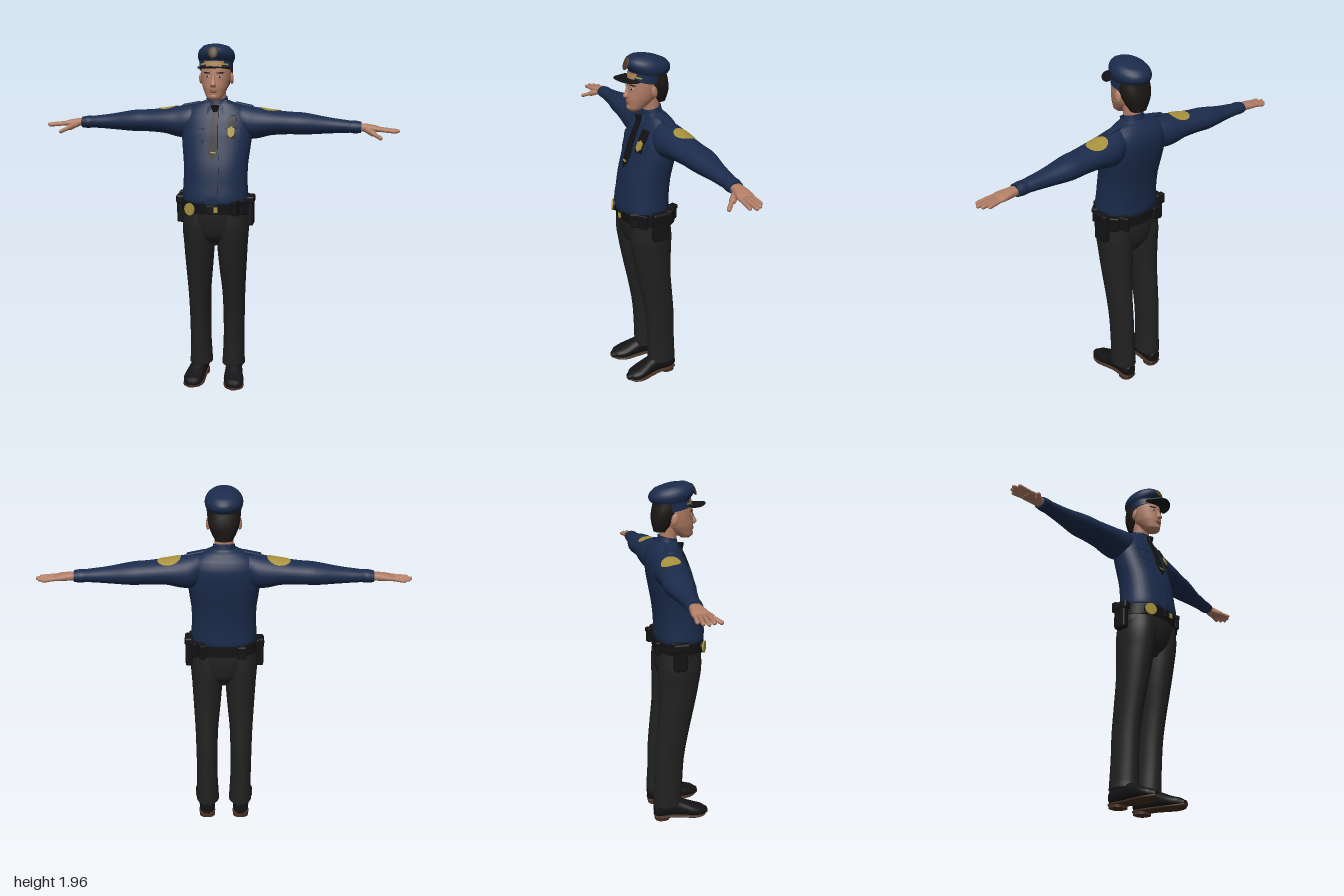
import * as THREE from 'three';
import { RoundedBoxGeometry } from 'three/addons/geometries/RoundedBoxGeometry.js';

const mat = (name, color, side = THREE.FrontSide) => {
  const m = new THREE.MeshStandardMaterial({ color, side });
  m.name = name;
  return m;
};

// Rows are [t, a, b, ra, rb]: position along the axis, centre and radii. Smoothly refined.
function refine(rows, sub = 4) {
  const out = [];
  for (let i = 0; i < rows.length - 1; i++) {
    const [p, q, r, s] = [-1, 0, 1, 2].map(k => rows[Math.min(Math.max(i + k, 0), rows.length - 1)]);
    for (let j = 0; j < sub; j++) {
      const u = j / sub;
      out.push(q.map((_, k) => k === 0 ? q[0] + (r[0] - q[0]) * u : 0.5 * (2 * q[k] + (r[k] - p[k]) * u +
        (2 * p[k] - 5 * q[k] + 4 * r[k] - s[k]) * u * u + (3 * q[k] - p[k] - 3 * r[k] + s[k]) * u ** 3)));
    }
  }
  out.push(rows[rows.length - 1]);
  return out;
}

function sample(rows, t) {
  const fine = refine(rows);
  let i = 0;
  while (i < fine.length - 2 && fine[i + 1][0] < t) i++;
  const u = THREE.MathUtils.clamp((t - fine[i][0]) / (fine[i + 1][0] - fine[i][0]), 0, 1);
  return fine[i].map((v, k) => v + (fine[i + 1][k] - v) * u);
}

// Skin of superellipse rings along an axis, with flat caps
function loft(axis, rows, { p = 2, seg = 28, sub = 4, caps = true } = {}) {
  const fine = refine(rows, sub), pos = [], idx = [];
  const put = (t, a, b) => axis === 'y' ? pos.push(a, t, b) : axis === 'x' ? pos.push(t, a, b) : pos.push(a, b, t);
  const ring = ([t, a, b, ra, rb]) => {
    for (let j = 0; j < seg; j++) {
      const c = Math.cos(j / seg * Math.PI * 2), s = Math.sin(j / seg * Math.PI * 2);
      put(t, a + ra * Math.sign(c) * Math.abs(c) ** (2 / p), b + rb * Math.sign(s) * Math.abs(s) ** (2 / p));
    }
  };
  const tri = (a, b, c) => axis === 'y' ? idx.push(a, b, c) : idx.push(a, c, b);
  fine.forEach(ring);
  for (let i = 0; i < fine.length - 1; i++) for (let j = 0; j < seg; j++) {
    const a = i * seg + j, b = i * seg + (j + 1) % seg;
    tri(a, a + seg, b);
    tri(b, a + seg, b + seg);
  }
  if (caps) [fine[0], fine[fine.length - 1]].forEach((row, end) => {
    const base = pos.length / 3;
    ring(row);
    put(row[0], row[1], row[2]);
    for (let j = 0; j < seg; j++) {
      const a = base + j, b = base + (j + 1) % seg;
      end ? tri(a, base + seg, b) : tri(a, b, base + seg);
    }
  });
  const g = new THREE.BufferGeometry();
  g.setAttribute('position', new THREE.Float32BufferAttribute(pos, 3));
  g.setIndex(idx);
  g.computeVertexNormals();
  return g;
}

function warp(g, fn) {
  const a = g.attributes.position, v = new THREE.Vector3();
  for (let i = 0; i < a.count; i++) { fn(v.fromBufferAttribute(a, i)); a.setXYZ(i, v.x, v.y, v.z); }
  g.computeVertexNormals();
  return g;
}

// Push a thin plate forward onto the front of a lofted body
const onFront = (g, rows, p = 2) => warp(g, v => {
  const [, a, b, ra, rb] = sample(rows, v.y);
  v.z += b + rb * Math.max(0, 1 - Math.abs((v.x - a) / ra) ** p) ** (1 / p);
});

function mirrored(src) {
  const g = src.clone().scale(-1, 1, 1);
  if (!g.index) g.setIndex([...Array(g.attributes.position.count).keys()]);
  const ix = g.index.array;
  for (let i = 0; i < ix.length; i += 3) [ix[i], ix[i + 1]] = [ix[i + 1], ix[i]];
  g.computeVertexNormals();
  return g;
}

function capsule(a, b, r) {
  const A = new THREE.Vector3(...a), d = new THREE.Vector3(...b).sub(A), len = d.length();
  return new THREE.CapsuleGeometry(r, len, 5, 10).applyQuaternion(
    new THREE.Quaternion().setFromUnitVectors(new THREE.Vector3(0, 1, 0), d.clone().normalize()))
    .translate(A.x + d.x / 2, A.y + d.y / 2, A.z + d.z / 2);
}

export function createModel() {
  const root = new THREE.Group();
  root.name = 'officer';
  const shirt = mat('navy cloth', 0x1b2b4b), trousers = mat('charcoal cloth', 0x212122), leather = mat('black leather', 0x131315);
  const skin = mat('skin', 0xb27e66), hair = mat('dark hair', 0x1c1815), gold = mat('gold', 0xa8923c, THREE.DoubleSide);
  const sole = mat('brown sole', 0x463022), lips = mat('lips', 0x8e5348), white = mat('eye white', 0xb5aaa2), bronze = mat('bronze', 0x4a3a28);
  const add = (name, g, m, parent = root) => {
    const mesh = new THREE.Mesh(g, m);
    mesh.name = name;
    parent.add(mesh);
    return mesh;
  };
  const pair = (name, g, m) => { add('left' + name, g, m); add('right' + name, mirrored(g), m); };

  // Torso and collar
  const torso = [[1.09, 0, .013, .172, .13], [1.12, 0, .014, .183, .136], [1.2, 0, .008, .179, .131], [1.3, 0, -.005, .179, .128],
    [1.4, 0, -.028, .19, .122], [1.48, 0, -.046, .197, .116], [1.55, 0, -.06, .195, .104], [1.6, 0, -.063, .17, .084],
    [1.632, 0, -.058, .12, .062], [1.65, 0, -.05, .07, .052]];
  add('shirtBody', loft('y', torso, { p: 2.3, seg: 40 }), shirt);
  const collar = loft('y', [[1.61, 0, -.045, .075, .062], [1.64, 0, -.046, .064, .056], [1.67, 0, -.047, .057, .05]]);
  add('collar', warp(collar, v => { v.y -= (v.z + .045) * .2; }), shirt);
  const flap = new THREE.Shape([[.004, 1.648], [.012, 1.618], [.042, 1.585], [.062, 1.615], [.056, 1.655]].map(q => new THREE.Vector2(...q)));
  pair('CollarFlap', warp(new THREE.ExtrudeGeometry(flap, { depth: .008, bevelEnabled: false }),
    v => { v.z += .02 + (1.6 - v.y) * .55 - v.x * v.x * 4; }), shirt);

  // Tie, button placket, chest pockets and badge
  const plate = (x, y, w, h, d) => onFront(new THREE.BoxGeometry(w, h, d, 4, 10, 1).translate(x, y, 0), torso, 2.3);
  add('placket', plate(0, 1.25, .066, .3, .016), shirt);
  const tie = new THREE.BoxGeometry(.05, .27, .014, 4, 14, 1).translate(0, 1.48, .005);
  warp(tie, v => { v.x *= v.y < 1.38 ? .15 + (v.y - 1.345) * 26 : 1.05 - (v.y - 1.38) * 1.6; });
  add('tie', onFront(tie, torso, 2.3), leather);
  add('tieKnot', new THREE.CylinderGeometry(.024, .014, .036, 12).scale(1, 1, .7).translate(0, 1.612, .028), leather);
  add('tieClip', plate(0, 1.385, .03, .007, .032), gold);
  pair('ChestPocket', plate(.1, 1.46, .075, .085, .008), shirt);
  pair('PocketFlap', plate(.1, 1.495, .08, .026, .016), shirt);
  add('badgeHolder', plate(.093, 1.515, .048, .12, .02), leather);
  const shield = new THREE.Shape([[0, -.03], [.018, -.014], [.019, .018], [.008, .022], [0, .03], [-.008, .022], [-.019, .018], [-.018, -.014]]
    .map(q => new THREE.Vector2(...q)));
  add('chestBadge', onFront(new THREE.ExtrudeGeometry(shield, { depth: .006, bevelEnabled: false }).translate(.093, 1.493, .01), torso, 2.3), gold);

  // Sleeves, cuffs, shoulder straps and patches
  const arm = [[.08, 1.56, -.06, .07, .058], [.16, 1.533, -.068, .09, .088], [.22, 1.527, -.075, .086, .09], [.3, 1.53, -.08, .07, .086],
    [.4, 1.528, -.09, .062, .08], [.48, 1.525, -.097, .06, .077], [.6, 1.518, -.1, .046, .055], [.7, 1.514, -.1, .036, .044], [.77, 1.511, -.1, .031, .036]];
  pair('Sleeve', loft('x', arm), shirt);
  pair('Cuff', loft('x', [[.735, 1.512, -.1, .034, .041], [.76, 1.511, -.1, .035, .042], [.79, 1.51, -.1, .031, .039]]), shirt);
  pair('ShoulderStrap', new RoundedBoxGeometry(.1, .016, .042, 2, .006).rotateZ(-.2).translate(.148, 1.626, -.066), shirt);
  const patch = warp(new THREE.RingGeometry(.001, 1, 16, 6), v => {
    const x = .288 + .062 * v.x, th = v.y * .62 - .2;
    const [, a, b, ra, rb] = sample(arm, x);
    v.set(x, a + (ra + .004) * Math.cos(th), b + (rb + .004) * Math.sin(th));
  });
  pair('ShoulderPatch', patch, gold);

  // Hands
  pair('Palm', loft('x', [[.77, 1.51, -.1, .021, .028], [.82, 1.509, -.1, .021, .034], [.87, 1.505, -.097, .017, .043],
    [.9, 1.501, -.095, .012, .042]], { p: 2.5, seg: 20 }), skin);
  [[.95, -.132], [.975, -.113], [.988, -.09], [.973, -.062]].forEach(([tip, z], i) =>
    pair('Finger' + (i + 1), capsule([.88, 1.503, -.125 + i * .02], [tip, 1.494, z], .0105), skin));
  pair('ThumbBase', capsule([.815, 1.503, -.085], [.855, 1.484, -.045], .017), skin);
  pair('ThumbTip', capsule([.85, 1.486, -.045], [.893, 1.465, -.005], .011), skin);

  // Trousers
  add('trouserSeat', loft('y', [[.85, 0, -.006, .045, .07], [.91, 0, -.002, .14, .112], [1, 0, .001, .187, .13], [1.1, 0, .006, .178, .13]], { seg: 36 }), trousers);
  pair('TrouserLeg', loft('y', [[.095, .097, -.073, .068, .086], [.13, .097, -.073, .065, .085], [.25, .099, -.068, .061, .083],
    [.4, .1, -.061, .062, .086], [.55, .1, -.042, .066, .092], [.7, .097, -.02, .077, .101], [.85, .095, -.006, .087, .115],
    [.95, .095, 0, .093, .122], [1.04, .092, .003, .088, .118]]), trousers);

  // Shoes
  const shoe = loft('z', [[-.152, .1, .06, .03, .035], [-.125, .1, .07, .045, .056], [-.05, .102, .075, .046, .058], [.01, .108, .064, .051, .048],
    [.08, .117, .048, .058, .034], [.13, .121, .04, .046, .026], [.162, .122, .034, .018, .014]], { p: 2.3 });
  pair('Shoe', warp(shoe, v => { v.y = Math.max(v.y, .02); }), leather);
  const toe = [[-.152, .1, .021, .032, .008], [-.12, .1, .021, .047, .009], [-.05, .102, .021, .046, .009], [.01, .108, .019, .052, .009],
    [.08, .117, .017, .06, .009], [.13, .121, .019, .047, .009], [.163, .122, .026, .018, .008]];
  pair('Sole', loft('z', toe, { p: 3 }), sole);
  pair('Heel', loft('y', [[0, .1, -.108, .046, .043], [.026, .1, -.108, .046, .044]], { p: 2.6 }), sole);

  // Duty belt with pouches at the left and a holster at the right
  add('belt', loft('y', [[1.045, 0, .006, .19, .137], [1.106, 0, .008, .188, .14]], { p: 2.2, seg: 40 }), leather);
  const box = (name, w, h, d, x, y, z, ry = 0, m = leather) =>
    add(name, new RoundedBoxGeometry(w, h, d, 2, Math.min(w, h, d) * .25).rotateY(ry).translate(x, y, z), m);
  box('buckle', .06, .045, .012, .0, 1.075, .15, 0);
  box('buckleTrim', .022, .03, .008, .022, 1.075, .156, 0, gold);
  box('longPouch', .04, .165, .09, .195, 1.045, -.012);
  box('longPouchFlap', .046, .04, .096, .196, 1.11, -.012);
  [[.165, .075, .9], [.125, .11, .5], [.165, -.085, -.7], [.12, -.118, -.4]].forEach(([x, z, ry], i) => {
    box('pouch' + i, .034, .085, .052, x, 1.08, z, -ry);
    box('pouchFlap' + i, .04, .028, .056, x, 1.11, z, -ry);
  });
  box('holster', .042, .15, .075, -.2, 1.04, -.02);
  box('holsterTop', .048, .05, .09, -.2, 1.1, -.015);
  box('pistolGrip', .026, .06, .035, -.205, 1.105, -.06);
  box('rearPouch', .05, .075, .03, -.1, 1.075, -.125);
  const medal = new THREE.CylinderGeometry(.034, .034, .008, 20).rotateX(Math.PI / 2).rotateY(-.5).translate(-.125, 1.07, .125);
  add('beltBadgeBacking', medal.clone().scale(1, 1, .97), leather);
  add('beltBadge', medal.translate(-.002, 0, .006), gold);

  // Head and face
  const head = [[1.662, 0, .052, .026, .026], [1.675, 0, .045, .043, .044], [1.7, 0, .028, .056, .064], [1.73, 0, .012, .069, .083],
    [1.77, 0, .002, .078, .089], [1.81, 0, -.004, .082, .093], [1.87, 0, -.01, .082, .092]];
  add('neck', loft('y', [[1.6, 0, -.045, .06, .05], [1.66, 0, -.043, .05, .046], [1.76, 0, -.035, .055, .052]]), skin);
  add('face', loft('y', head), skin);
  add('nose', loft('y', [[1.733, 0, .094, .012, .01], [1.745, 0, .097, .017, .018], [1.77, 0, .093, .01, .011], [1.797, 0, .088, .007, .006]], { seg: 14 }), skin);
  add('chin', new THREE.SphereGeometry(.022, 14, 10).scale(1.1, .8, .8).translate(0, 1.683, .077), skin);
  const facePlate = (x, y, w, h, d) => onFront(new THREE.SphereGeometry(1, 14, 8).scale(w, h, d).translate(x, y, 0), head);
  add('upperLip', facePlate(0, 1.714, .022, .004, .004), lips);
  add('lowerLip', facePlate(0, 1.707, .018, .004, .004), lips);
  pair('Eye', facePlate(.034, 1.788, .014, .0055, .003), white);
  pair('Pupil', facePlate(.034, 1.788, .0055, .0055, .005), hair);
  pair('Brow', facePlate(.036, 1.808, .02, .004, .004), hair);
  pair('Ear', new THREE.SphereGeometry(1, 14, 10).scale(.01, .032, .019).rotateY(.3).rotateX(.2).translate(.084, 1.773, -.025), skin);
  add('hair', loft('y', [[1.7, 0, -.085, .046, .036], [1.73, 0, -.078, .062, .05], [1.77, 0, -.07, .078, .064], [1.81, 0, -.056, .086, .074],
    [1.86, 0, -.04, .085, .08]], { p: 2.3 }), hair);

  // Peaked cap, tilted back
  const cap = new THREE.Group();
  cap.name = 'cap';
  cap.position.set(0, 1.83, -.01);
  cap.rotation.x = -.2;
  root.add(cap);
  add('capBand', loft('y', [[-.014, 0, 0, .089, .093], [.036, 0, 0, .091, .095]], { seg: 36 }), shirt, cap);
  add('capCrown', loft('y', [[.026, 0, 0, .091, .095], [.045, 0, 0, .098, .115], [.066, 0, 0, .1, .125], [.09, 0, 0, .092, .118],
    [.112, 0, 0, .07, .09], [.122, 0, 0, .035, .045], [.124, 0, 0, .002, .002]], { seg: 36 }), shirt, cap);
  add('capStrap', new THREE.CylinderGeometry(.093, .093, .009, 24, 1, true, -.95, 1.9).scale(1, 1, 1.04).translate(0, .008, 0), gold, cap);
  add('capEmblem', new THREE.SphereGeometry(1, 16, 10).scale(.027, .034, .009).rotateX(-.2).translate(0, .062, .122), bronze, cap);
  const brim = new THREE.Shape();
  brim.absellipse(0, 0, .088, .1, 0, Math.PI);
  const visor = new THREE.ExtrudeGeometry(brim, { depth: .006, bevelEnabled: false, curveSegments: 24 }).rotateX(Math.PI / 2);
  add('visor', warp(visor.translate(0, 1.862, .06), v => { v.y -= (v.z - .06) * .15 + v.x * v.x * 3; }), leather);
  return root;
}
